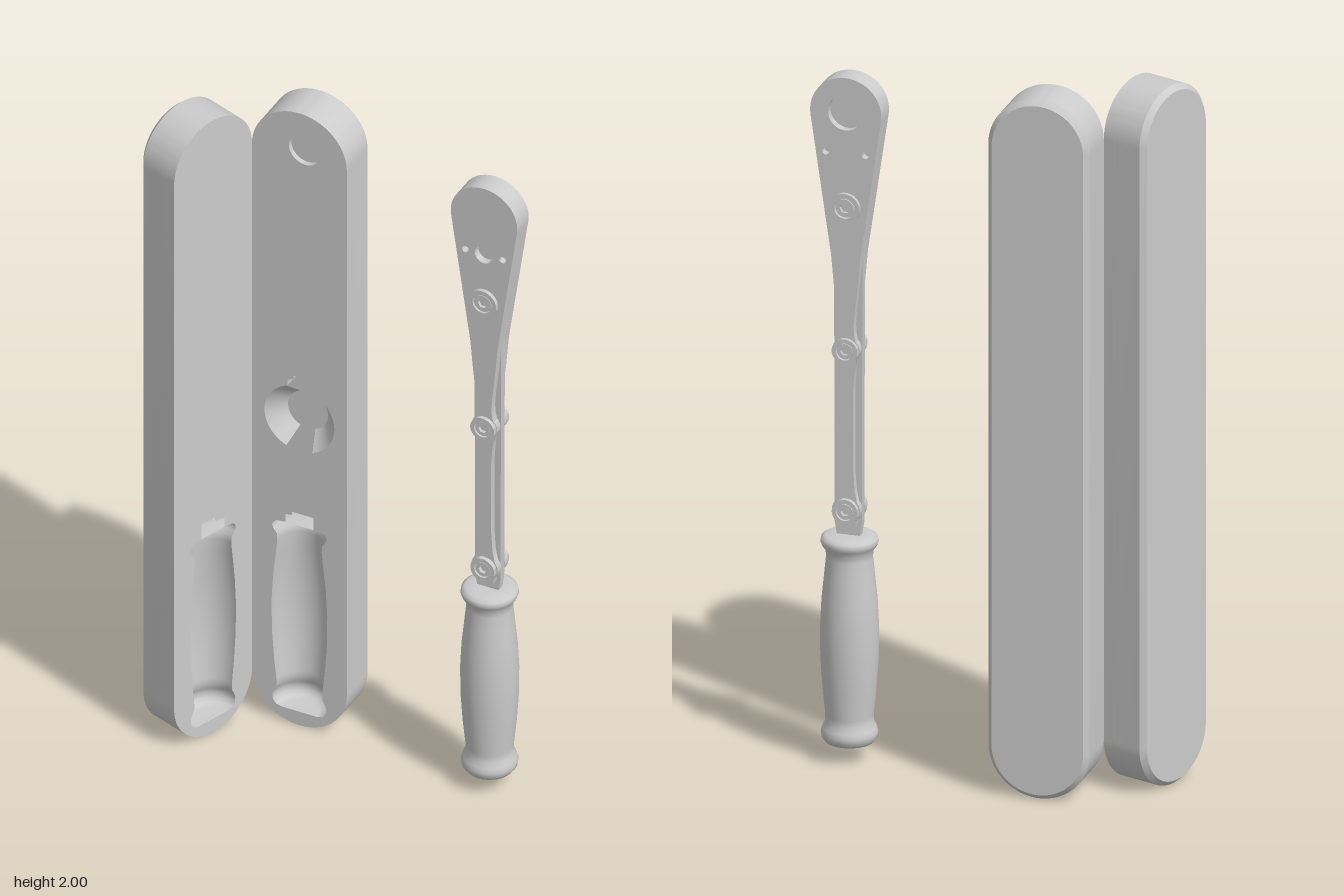
import * as THREE from 'three';
import { toCreasedNormals } from 'three/addons/utils/BufferGeometryUtils.js';

const R = 0.1425;        // radius of the case ends
const FRONT = -0.07;     // z of the case opening and of the tool centre
const grey = new THREE.MeshStandardMaterial({ color: 0xcccccc });
const thin = new THREE.MeshStandardMaterial({ color: 0xcccccc, side: THREE.DoubleSide });

// handle silhouette, from the top down: [radius, y]
const handleHalf = [[0.04, 0.645], [0.065, 0.643], [0.076, 0.636], [0.078, 0.625], [0.074, 0.614], [0.064, 0.6],
  [0.063, 0.58], [0.068, 0.53], [0.075, 0.46], [0.079, 0.38], [0.078, 0.29], [0.072, 0.2], [0.065, 0.13],
  [0.065, 0.11], [0.073, 0.094], [0.077, 0.08], [0.075, 0.066], [0.066, 0.054], [0.05, 0.05]];
const handleCavity = handleHalf.map(([x, y]) => [x * 1.06, 0.35 + (y - 0.35) * 1.02]);

function arc(cy, r, from, to, n = 16) {
  return Array.from({ length: n + 1 }, (_, i) => {
    const a = THREE.MathUtils.degToRad(from + (to - from) * i / n);
    return [r * Math.cos(a), cy + r * Math.sin(a)];
  });
}

// right-hand half outline (top to bottom) mirrored into a closed shape
function mirrored(half) {
  const left = half.filter(([x]) => x > 1e-4).reverse().map(([x, y]) => [-x, y]);
  return new THREE.Shape([...half, ...left].map(([x, y]) => new THREE.Vector2(x, y)));
}

function circle(x, y, r) {
  return new THREE.Path().absarc(x, y, r, 0, Math.PI * 2, false);
}

function add(parent, name, geometry, material = grey) {
  const mesh = new THREE.Mesh(geometry, material);
  mesh.name = name;
  parent.add(mesh);
  return mesh;
}

// slab between z0 and z1
function slab(parent, name, shape, z0, z1, holes = []) {
  const s = shape.clone();
  s.holes = holes;
  const g = new THREE.ExtrudeGeometry(s, { depth: z1 - z0, bevelEnabled: false, curveSegments: 24 });
  g.translate(0, 0, z0);
  return add(parent, name, toCreasedNormals(g, 0.5));
}

const lathePoints = (half) => [[0, half.at(-1)[1]], ...half.slice().reverse(), [0, half[0][1]]]
  .map(([x, y]) => new THREE.Vector2(x, y));

// one half of the case; opening at local z = 0, facing +z
function caseHalf(name, pit, scoop) {
  const group = new THREE.Group();
  group.name = name;
  const outline = mirrored([...arc(2 - R, R, 90, 0, 24), ...arc(R, R, 0, -90, 24)]);
  const notch = scoop ? arc(1, 0.105, 70, -70, 20) : [];
  const rimHole = mirrored([...arc(1.86, 0.106, 90, -8), [0.07, 1.61], [0.052, 1.48], [0.043, 1.36], [0.038, 1.3],
    ...notch, [0.038, 0.84], [0.042, 0.78], [0.042, 0.66], ...handleCavity]);
  const channel = mirrored([...arc(1.57, 0.05, 90, -5), [0.038, 1.36], [0.036, 1.3],
    ...notch, [0.036, 0.84], [0.04, 0.78], [0.04, 0.66], ...handleCavity]);

  slab(group, 'caseRim', outline, -0.035, 0, [rimHole]);
  slab(group, 'caseTray', outline, -0.05, -0.035, [channel, pit]);
  slab(group, 'caseBody', outline, -0.12, -0.05, [mirrored(handleCavity)]);

  // chamfered back plate
  const back = slab(group, 'caseBack', outline, -0.135, -0.12);
  const p = back.geometry.attributes.position;
  for (let i = 0; i < p.count; i++) {
    if (p.getZ(i) > -0.13) continue;
    const cy = THREE.MathUtils.clamp(p.getY(i), R, 2 - R);
    const k = (R - 0.014) / R;
    p.setXY(i, p.getX(i) * k, cy + (p.getY(i) - cy) * k);
  }
  back.geometry = toCreasedNormals(back.geometry, 0.5);

  // half-round bed for the handle
  add(group, 'handleBed', new THREE.LatheGeometry(lathePoints(handleCavity), 32, Math.PI / 2, Math.PI), thin);

  // sloped finger scoops either side of the channel
  if (scoop) {
    for (const start of [22, 202]) {
      const g = new THREE.LatheGeometry([new THREE.Vector2(0.06, -0.05), new THREE.Vector2(0.105, 0)], 24,
        THREE.MathUtils.degToRad(start), THREE.MathUtils.degToRad(136));
      g.rotateX(Math.PI / 2);
      add(group, 'fingerScoop', g.translate(0, 1, 0), thin);
    }
  }
  return group;
}

// raised pivot collar with a hexagonal socket, on the front (side 1) or back (side -1)
function pivot(parent, y, r, side, height) {
  const ring = new THREE.Shape().absarc(0, 0, r, 0, Math.PI * 2, false);
  const collar = slab(parent, 'pivotCollar', ring, 0, height, [circle(0, 0, r * 0.68)]);
  const hex = new THREE.Path(Array.from({ length: 6 }, (_, i) =>
    new THREE.Vector2(Math.cos(i * Math.PI / 3), Math.sin(i * Math.PI / 3)).multiplyScalar(r * 0.34)));
  const screw = slab(parent, 'pivotScrew', new THREE.Shape().absarc(0, 0, r * 0.6, 0, Math.PI * 2, false),
    0, height * 0.85, [hex]);
  for (const m of [collar, screw]) {
    m.position.set(0, y, side * 0.028);
    if (side < 0) m.rotation.y = Math.PI;
  }
}

function makeTool() {
  const tool = new THREE.Group();
  tool.name = 'tool';

  // head and upper strap, in three layers so each face has its own recesses
  const head = mirrored([...arc(1.86, 0.1, 90, -8), [0.063, 1.6], [0.041, 1.45], [0.033, 1.36], [0.025, 1.29],
    [0.022, 1.25], [0.024, 1.22], [0.03, 1.2], [0.03, 1.17], [0, 1.17]]);
  const dots = [circle(0.056, 1.745, 0.01), circle(-0.056, 1.745, 0.01)];
  slab(tool, 'headFront', head, 0.011, 0.033, [circle(0, 1.745, 0.028), ...dots]);
  slab(tool, 'headBack', head, -0.033, -0.011, [circle(0, 1.86, 0.05), ...dots]);
  slab(tool, 'corePlate', mirrored([...arc(1.86, 0.1, 90, -8), [0.063, 1.6], [0.04, 1.45],
    [0.038, 0.68], [0.03, 0.63], [0, 0.63]]), -0.011, 0.011);

  // lower straps flaring out around the pivots
  const strap = mirrored([...arc(1.18, 0.038, 90, -40), [0.024, 1.12], [0.02, 1.07], [0.02, 0.84],
    [0.024, 0.78], ...arc(0.72, 0.04, 40, -45), [0.026, 0.675], [0, 0.675]]);
  for (const side of [-1, 1]) {
    slab(tool, 'strap', strap, side > 0 ? 0.011 : -0.03, side > 0 ? 0.03 : -0.011);
    pivot(tool, 1.59, 0.042, side, 0.016);
    pivot(tool, 1.18, 0.036, side, 0.016);
    pivot(tool, 0.72, 0.036, side, 0.015);
  }

  add(tool, 'handle', new THREE.LatheGeometry(lathePoints(handleHalf), 40));
  return tool;
}

export function createModel() {
  const model = new THREE.Group();
  model.name = 'toolAndCase';

  const rearHalf = caseHalf('rearCaseHalf', circle(0, 1.86, 0.05), true);
  rearHalf.position.set(-0.16, 0, FRONT);

  // second half swung open about the shared edge
  const keyhole = mirrored([...arc(1.755, 0.024, 90, 0, 8), ...arc(1.706, 0.05, 50, -90)]);
  const openHalf = caseHalf('openCaseHalf', keyhole, false);
  const swing = 1.232;
  openHalf.position.set(-0.3025 - R * Math.cos(swing), 0, FRONT + R * Math.sin(swing));
  openHalf.rotation.y = swing;

  const tool = makeTool();
  tool.position.set(0.412, 0, FRONT);

  model.add(rearHalf, openHalf, tool);
  return model;
}
